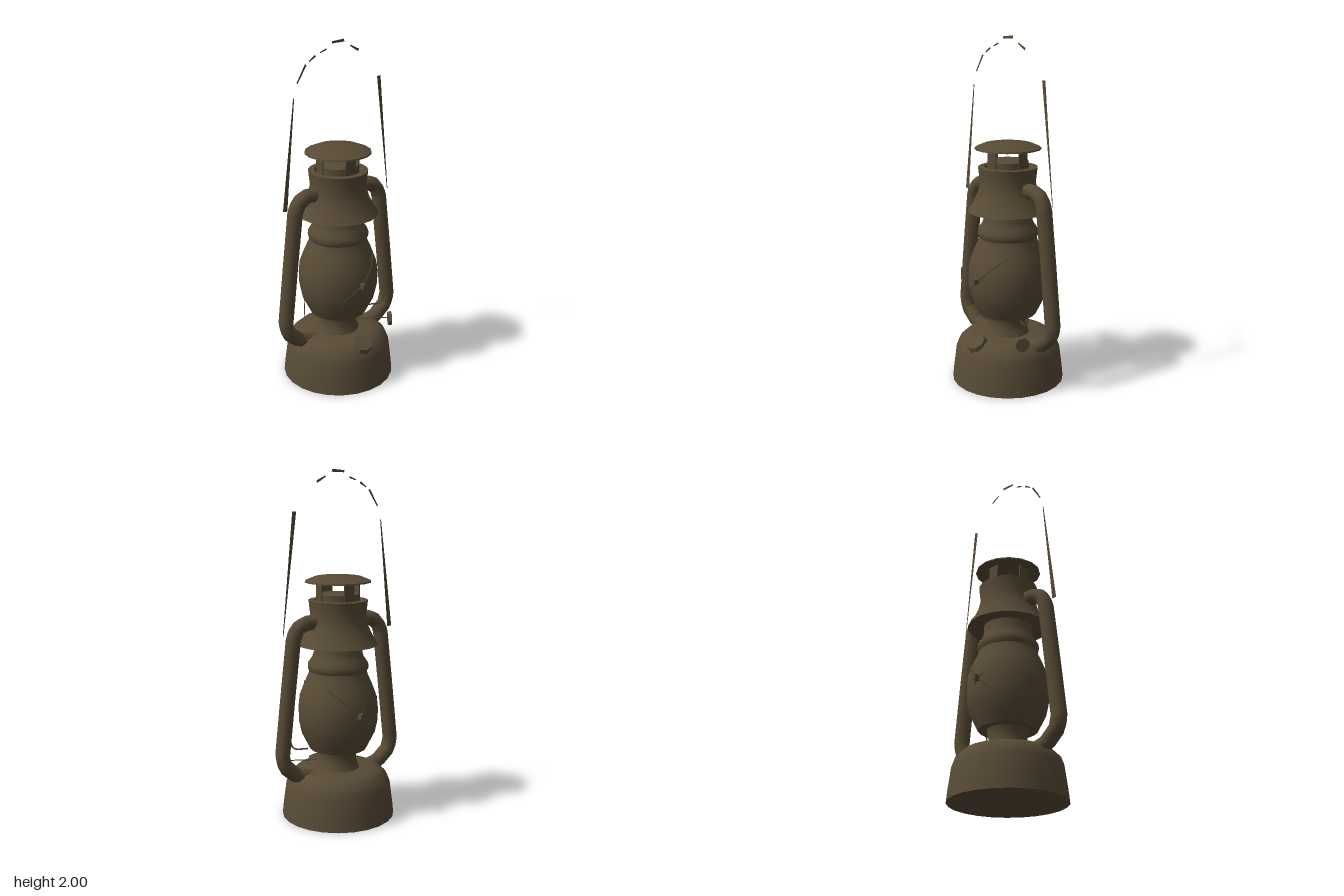
import * as THREE from 'three';
import { toCreasedNormals } from 'three/addons/utils/BufferGeometryUtils.js';

export function createModel() {
  const group = new THREE.Group();
  const metal = new THREE.MeshStandardMaterial({ color: 0x584b36, side: THREE.DoubleSide });
  metal.name = 'aged bronze';

  const V = (x, y, z) => new THREE.Vector3(x, y, z);
  const add = (name, geometry, parent = group) => {
    const mesh = new THREE.Mesh(geometry, metal);
    mesh.name = name;
    parent.add(mesh);
    return mesh;
  };
  // Turned parts: profile of [radius, height], bottom to top
  const turned = (name, profile, sides = 20) => add(name, toCreasedNormals(
    new THREE.LatheGeometry(profile.map(([r, y]) => new THREE.Vector2(r, y)), sides), 0.7));

  turned('fuelTank', [[0, 0], [0.328, 0], [0.322, 0.06], [0.305, 0.19], [0.288, 0.235],
    [0.245, 0.275], [0.2, 0.283], [0, 0.283]], 24);
  turned('burner', [[0.13, 0.27], [0.115, 0.31], [0.105, 0.35], [0.12, 0.4]], 14);
  turned('globe', [[0, 0.4], [0.165, 0.4], [0.18, 0.43], [0.215, 0.5], [0.23, 0.57], [0.232, 0.64],
    [0.225, 0.71], [0.195, 0.79], [0.172, 0.84], [0.166, 0.862], [0.176, 0.88], [0.174, 0.905],
    [0.15, 0.94], [0.14, 0.97], [0.138, 1.04]]);
  turned('hood', [[0.14, 1.02], [0.232, 1.015], [0.2, 1.065], [0.175, 1.12], [0.16, 1.18], [0.17, 1.27],
    [0.135, 1.272], [0.125, 1.255], [0, 1.25]]);
  turned('chimneyCollar', [[0.12, 1.25], [0.118, 1.305], [0.07, 1.31], [0, 1.31]], 14);
  turned('cap', [[0, 1.372], [0.19, 1.372], [0.188, 1.38], [0.135, 1.402], [0, 1.41]], 16);

  // Four flat struts carrying the cap
  for (let i = 0; i < 4; i++) {
    const strut = add('capStrut', new THREE.BoxGeometry(0.065, 0.13, 0.006));
    const a = i * Math.PI / 2;
    strut.position.set(Math.sin(a) * 0.122, 1.315, Math.cos(a) * 0.122);
    strut.rotation.y = a;
  }

  // Side air tubes, mirrored
  for (const s of [-1, 1]) {
    const points = [[0.13, 1.15], [0.21, 1.152], [0.262, 1.125], [0.288, 1.07], [0.327, 0.74],
      [0.365, 0.4], [0.348, 0.335], [0.275, 0.27], [0.16, 0.24]].map(([x, y]) => V(s * x, y, 0));
    const path = new THREE.CurvePath();
    for (let i = 1; i < points.length; i++) path.add(new THREE.LineCurve3(points[i - 1], points[i]));
    add(s > 0 ? 'leftAirTube' : 'rightAirTube',
      new THREE.TubeGeometry(path, 44, 0.044, 8));
  }

  // Carrying bail: thin tapered strips lying in the centre plane
  const bail = new THREE.Group();
  bail.name = 'bail';
  group.add(bail);
  // each strip: start x, y, half width, end x, y, half width
  const strips = [
    [-0.352, 1.09, 0.014, -0.284, 1.715, 0.003],
    [0.352, 1.09, 0.002, 0.276, 1.77, 0.012],
    [-0.262, 1.79, 0.004, -0.205, 1.885, 0.006],
    [-0.185, 1.898, 0.003, -0.145, 1.925, 0.006],
    [-0.115, 1.938, 0.003, -0.075, 1.953, 0.005],
    [-0.04, 1.985, 0.006, 0.04, 1.99, 0.008],
    [0.08, 1.958, 0.004, 0.135, 1.928, 0.007],
  ];
  for (const [x0, y0, w0, x1, y1, w1] of strips) {
    const d = new THREE.Vector2(x1 - x0, y1 - y0).normalize();
    const corner = (x, y, w) => new THREE.Vector2(x - d.y * w, y + d.x * w);
    const shape = new THREE.Shape([corner(x0, y0, w0), corner(x0, y0, -w0),
      corner(x1, y1, -w1), corner(x1, y1, w1)]);
    add('bailStrip', new THREE.ShapeGeometry(shape), bail);
  }

  // Crossed guard wires on the front and back of the globe
  const wire = (name, points, r = 0.004) => add(name,
    new THREE.TubeGeometry(new THREE.CatmullRomCurve3(points), 10, r, 4));
  for (const f of [1, -1]) {
    wire('guardWireLong', [V(-0.1, 0.555, f * 0.208), V(0, 0.64, f * 0.238),
      V(0.08, 0.715, f * 0.213), V(0.145, 0.785, f * 0.14)]);
    wire('guardWireShort', [V(-0.035, 0.665, f * 0.23), V(0, 0.64, f * 0.24), V(0.03, 0.615, f * 0.232)]);
    const clip = add('guardClip', new THREE.BoxGeometry(0.02, 0.03, 0.035));
    clip.position.set(0, 0.64, f * 0.25);
  }

  // Filler cap on the front shoulder of the tank
  const filler = add('fillerCap', toCreasedNormals(new THREE.CylinderGeometry(0.055, 0.068, 0.045, 8), 0.5));
  filler.position.set(0, 0.263, 0.243);
  filler.rotation.x = 0.55;

  // Wick winder with its thin shaft
  const knob = add('wickKnob', toCreasedNormals(new THREE.CylinderGeometry(0.042, 0.042, 0.02, 7), 0.5));
  knob.position.set(0.275, 0.315, 0.15);
  knob.rotation.set(0, -0.5, Math.PI / 2);
  wire('wickShaft', [V(0.1, 0.322, 0.055), V(0.19, 0.322, 0.1), V(0.275, 0.318, 0.15)], 0.003);

  // Globe lifting lever and loose guard wire
  wire('globeLever', [V(0.17, 0.4, 0.06), V(0.245, 0.405, 0.09), V(0.272, 0.475, 0.1)], 0.005);
  wire('sideGuardWire', [V(-0.3, 0.625, 0.1), V(-0.3, 0.55, 0.1), V(-0.298, 0.465, 0.1)], 0.003);

  return group;
}
